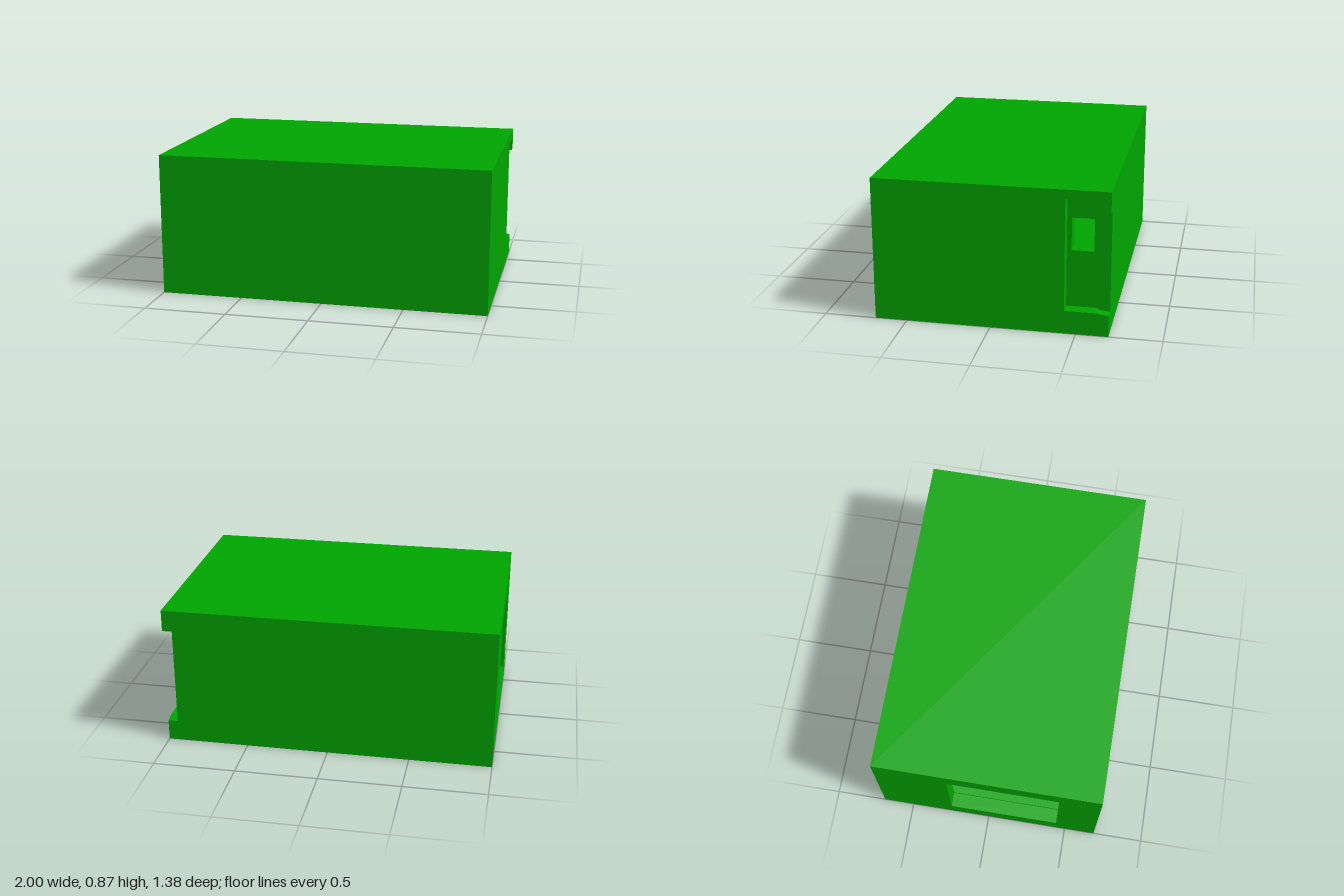
import * as THREE from 'three';
import { mergeGeometries } from 'three/addons/utils/BufferGeometryUtils.js';

const D = 0.69, H = 0.865;          // half depth and height of the block
const rect = (a0, a1, b0, b1) => [[a0, b0], [a1, b0], [a1, b1], [a0, b1]];

// Flat face on a plane: outline is (z,y) on x planes, (x,z) on y planes, (x,y) on z planes
function face(axis, at, dir, outline, hole) {
  const toV = (pts) => pts.map(([a, b]) => new THREE.Vector2(a, b));
  const shape = new THREE.Shape(toV(outline));
  if (hole) shape.holes.push(new THREE.Path(toV(hole)));
  const geo = new THREE.ShapeGeometry(shape);
  const p = geo.attributes.position;
  for (let i = 0; i < p.count; i++) {
    const a = p.getX(i), b = p.getY(i);
    if (axis === 'x') p.setXYZ(i, at, b, a);
    else if (axis === 'y') p.setXYZ(i, a, at, b);
    else p.setXYZ(i, a, b, at);
  }
  if ((axis === 'z' ? 1 : -1) !== dir) geo.index.array.reverse();
  geo.computeVertexNormals();
  return geo;
}

// Four inward-facing sides of an opening that runs along x
const tunnel = (x0, x1, z0, z1, y0, y1) => [
  face('y', y0, 1, rect(x0, x1, z0, z1)),
  face('y', y1, -1, rect(x0, x1, z0, z1)),
  face('z', z0, 1, rect(x0, x1, y0, y1)),
  face('z', z1, -1, rect(x0, x1, y0, y1)),
];

export function createModel() {
  const group = new THREE.Group();
  const material = new THREE.MeshStandardMaterial({ color: 0x00a500, side: THREE.DoubleSide });
  const add = (name, ...faces) => {
    const mesh = new THREE.Mesh(mergeGeometries(faces), material);
    mesh.name = name;
    group.add(mesh);
  };

  const inL = -0.912, inR = 0.82;                          // cavity ends
  const panelX = 0.922, stripX = 0.94;                     // recess depths
  const sill = 0.128, lo = 0.14, mid = 0.733, hi = 0.81;   // opening heights
  const backZ = -0.62, frontZ = 0.645, doorZ = -0.433;
  const winZ0 = -0.24, winZ1 = 0.44;
  const bigWindow = [winZ0, winZ1, sill, mid];
  const smallWindow = [-0.59, -0.46, 0.483, 0.678];

  // Outer block, with the corner notch cut from its back and +x end
  add('outerShell',
    face('z', D, 1, rect(-1, 1, 0, H)),
    face('y', H, 1, rect(-1, 1, -D, D)),
    face('y', 0, -1, rect(-1, 1, -D, D)),
    face('x', -1, -1, rect(-D, D, 0, H), rect(...bigWindow)),
    face('z', -D, -1, [[-1, 0], [1, 0], [1, sill], [stripX, sill],
      [stripX, mid], [1, mid], [1, H], [-1, H]]),
    face('x', 1, 1, [[-D, 0], [D, 0], [D, H], [-D, H], [-D, mid], [backZ, mid],
      [backZ, hi], [doorZ, hi], [doorZ, lo], [backZ, lo], [-D, sill]]));

  // Large opening through the end wall, with a low step up to the floor
  add('windowReveal',
    ...tunnel(-1, inL, ...bigWindow),
    face('x', inL, -1, rect(winZ0, winZ1, sill, lo)));

  // Hollow inside
  add('innerRoom',
    ...tunnel(inL, inR, backZ, frontZ, lo, hi),
    face('x', inL, 1, [[backZ, lo], [winZ0, lo], [winZ0, mid], [winZ1, mid],
      [winZ1, lo], [frontZ, lo], [frontZ, hi], [backZ, hi]]),
    face('x', inR, -1, rect(backZ, frontZ, lo, hi), rect(...smallWindow)));

  // Recessed panel with a small opening
  add('recessPanel',
    face('x', panelX, 1, rect(backZ, doorZ, lo, hi), rect(...smallWindow)),
    ...tunnel(inR, panelX, ...smallWindow));

  // Sides of the recess
  add('recessSides',
    face('y', lo, 1, rect(panelX, 1, backZ, doorZ)),
    face('y', hi, -1, rect(panelX, 1, backZ, doorZ)),
    face('z', doorZ, -1, rect(panelX, 1, lo, hi)),
    face('z', backZ, 1, [[panelX, lo], [stripX, lo], [stripX, mid],
      [1, mid], [1, hi], [panelX, hi]]));

  // Corner notch opening to the back, its floor falling slightly outward
  const notchFloor = face('y', lo, 1, rect(stripX, 1, -D, backZ));
  const p = notchFloor.attributes.position;
  for (let i = 0; i < p.count; i++) if (p.getZ(i) < backZ - 0.01) p.setY(i, sill);
  notchFloor.computeVertexNormals();
  add('cornerNotch',
    notchFloor,
    face('x', stripX, 1, [[-D, sill], [backZ, lo], [backZ, mid], [-D, mid]]),
    face('y', mid, -1, rect(stripX, 1, -D, backZ)));

  return group;
}
